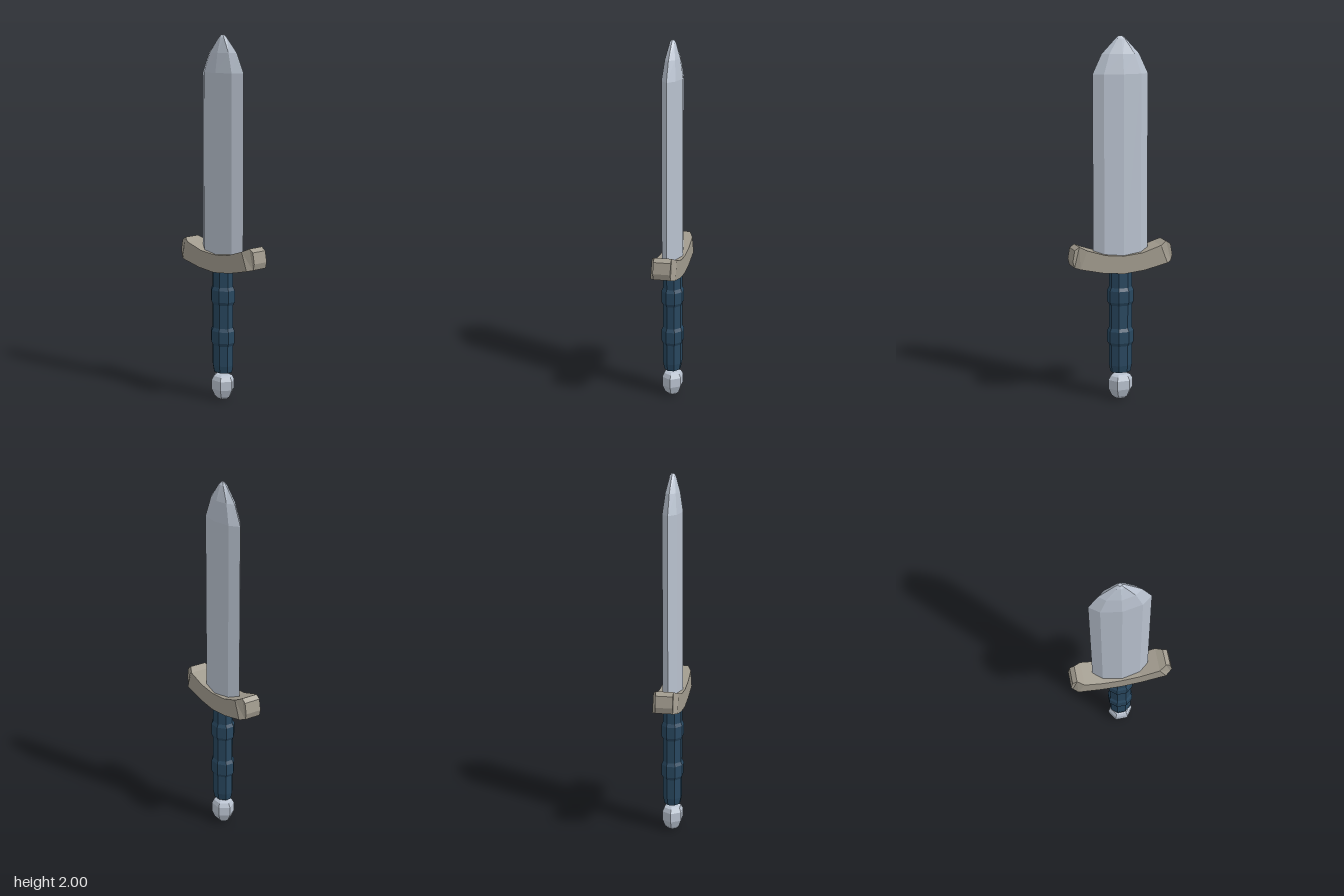
import * as THREE from 'three';

const steel = new THREE.MeshStandardMaterial({ color: 0xb9c2cf, flatShading: true });
steel.name = 'steel';
const bronze = new THREE.MeshStandardMaterial({ color: 0xa19b8e, flatShading: true });
bronze.name = 'dull bronze';
const leather = new THREE.MeshStandardMaterial({ color: 0x28475f, flatShading: true });
leather.name = 'blue leather';

// Closed solid through a list of equal-length rings of [x, y, z]
function loft(name, rings, material) {
  const n = rings[0].length;
  const index = [];
  for (let j = 0; j < rings.length - 1; j++) {
    for (let i = 0; i < n; i++) {
      const a = j * n + i, b = j * n + (i + 1) % n;
      index.push(a, a + n, b, b, a + n, b + n);
    }
  }
  const last = (rings.length - 1) * n;
  for (let i = 1; i < n - 1; i++) {
    index.push(0, i, i + 1, last, last + i + 1, last + i);
  }
  const geometry = new THREE.BufferGeometry();
  geometry.setAttribute('position', new THREE.Float32BufferAttribute(rings.flat(2), 3));
  geometry.setIndex(index);
  const flat = geometry.toNonIndexed();
  flat.computeVertexNormals();
  const mesh = new THREE.Mesh(flat, material);
  mesh.name = name;
  return mesh;
}

// Elliptical ring with a chosen number of sides
function ellipse(y, rx, rz, sides, turn) {
  return Array.from({ length: sides }, (_, i) => {
    const a = (i + turn) / sides * Math.PI * 2;
    return [Math.cos(a) * rx, y, Math.sin(a) * rz];
  });
}

export function createModel() {
  const sword = new THREE.Group();
  sword.name = 'sword';

  // Blade: eight-sided lens section narrowing to the tip
  const section = [[0.157, 0], [0.105, 0.038], [0, 0.056], [-0.105, 0.038],
    [-0.157, 0], [-0.105, -0.038], [0, -0.056], [0.105, -0.038]];
  const levels = [[0.77, 1, 1], [1.8, 1, 1], [1.905, 0.68, 0.72], [1.985, 0.19, 0.33], [2, 0.07, 0.15]];
  sword.add(loft('blade',
    levels.map(([y, sx, sz]) => section.map(([x, z]) => [x * sx, y, z * sz])), steel));

  // Guard: upswept bar with bevelled ends [top x, top y, bottom x, bottom y, half depth]
  const half = [
    [0.105, 0.832, 0.118, 0.735, 0.068],
    [0.212, 0.866, 0.25, 0.765, 0.068],
    [0.25, 0.885, 0.278, 0.772, 0.047],
    [0.276, 0.867, 0.287, 0.806, 0.047],
  ];
  const mirrored = half.map(([tx, ty, bx, by, d]) => [-tx, ty, -bx, by, d]).reverse();
  const stations = [...mirrored, [0, 0.822, 0, 0.723, 0.068], ...half];
  sword.add(loft('guard', stations.map(([tx, ty, bx, by, d]) =>
    [[tx, ty, d], [tx, ty, -d], [bx, by, -d], [bx, by, d]]), bronze));

  // Grip: octagonal handle with two raised bands
  const grip = [[0.155, 0.054, 0.043], [0.195, 0.06, 0.05]];
  for (const y of [0.358, 0.588]) {
    grip.push([y - 0.05, 0.06, 0.05], [y - 0.032, 0.069, 0.058],
      [y + 0.032, 0.069, 0.058], [y + 0.05, 0.06, 0.05]);
  }
  grip.push([0.75, 0.06, 0.05]);
  const k = 1 / Math.cos(Math.PI / 8);
  sword.add(loft('grip',
    grip.map(([y, rx, rz]) => ellipse(y, rx * k, rz * k, 8, 0.5)), leather));

  // Pommel: faceted knob
  const knob = [[0, 0.03], [0.018, 0.052], [0.058, 0.071], [0.108, 0.071], [0.13, 0.058], [0.138, 0.04]];
  sword.add(loft('pommel',
    knob.map(([y, r]) => ellipse(y, r, r * 0.86, 6, 0)), steel));

  return sword;
}
